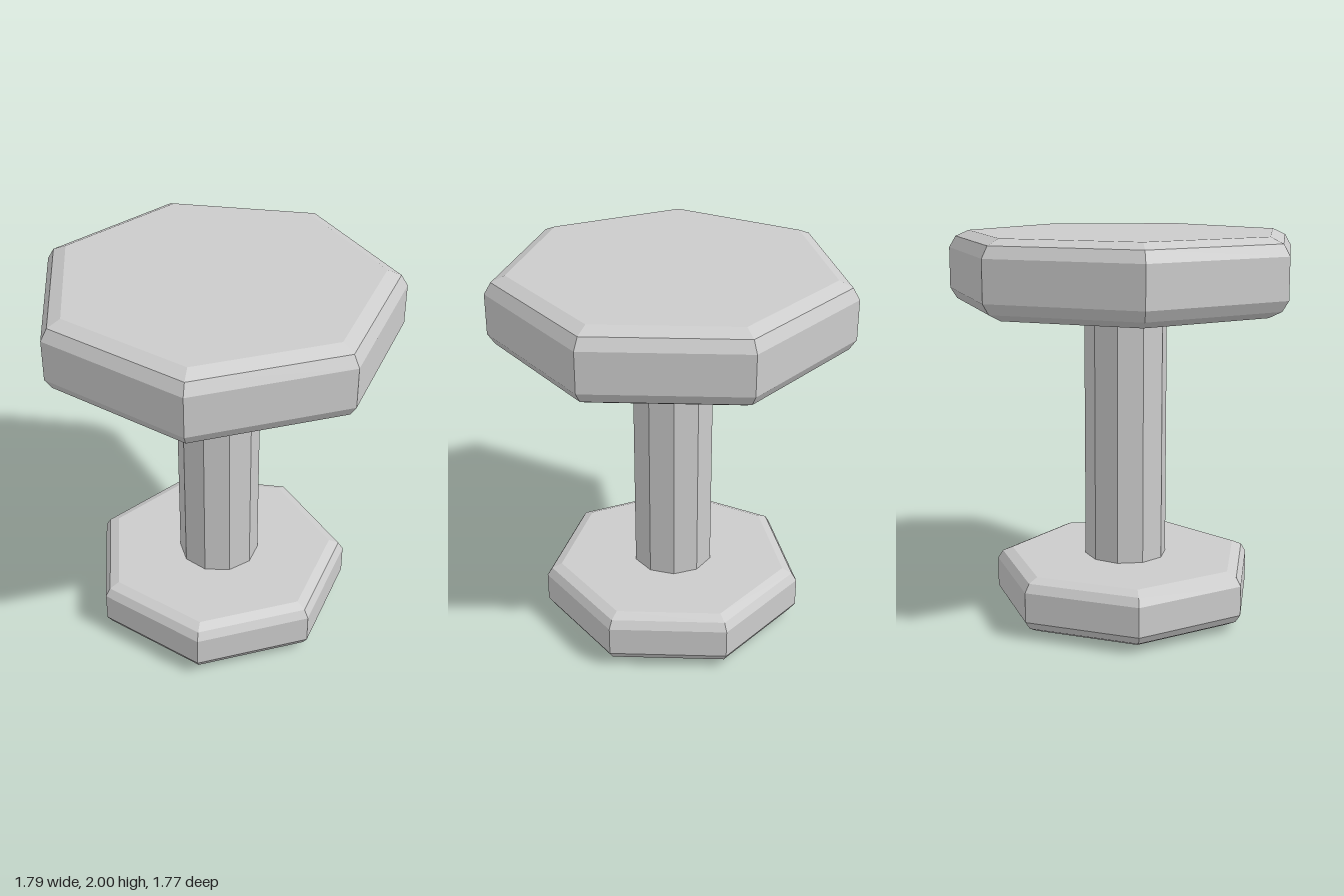
import * as THREE from 'three';

const material = new THREE.MeshStandardMaterial({
  color: 0xcccccc, flatShading: true, side: THREE.DoubleSide,
});
const CENTRE_X = -0.018, CENTRE_Z = 0.028;

function addPart(group, name, geometry) {
  const mesh = new THREE.Mesh(geometry, material);
  mesh.name = name;
  mesh.position.set(CENTRE_X, 0, CENTRE_Z);
  group.add(mesh);
}

// Seven-sided bevelled shell, closed on top and open underneath
function shell(bottom, height, radius, lip, inset) {
  const profile = [
    [radius - inset, 0], [radius - lip, 0.09], [radius, 0.23],
    [radius, 0.77], [radius - lip, 0.92], [radius - inset, 1], [0, 1],
  ].map(([r, t]) => new THREE.Vector2(r, bottom + t * height));
  return new THREE.LatheGeometry(profile, 7, THREE.MathUtils.degToRad(81));
}

export function createModel() {
  const group = new THREE.Group();
  group.name = 'pedestalTable';

  addPart(group, 'tableTop', shell(1.615, 0.385, 0.92, 0.035, 0.105));
  addPart(group, 'base', shell(0.025, 0.285, 0.695, 0.027, 0.08));

  // Hollow ten-sided column running through the base
  const columnHeight = 1.67;
  const column = new THREE.CylinderGeometry(0.213, 0.213, columnHeight, 10, 1, true, Math.PI / 2);
  column.translate(0, columnHeight / 2, 0);
  addPart(group, 'column', column);

  return group;
}
